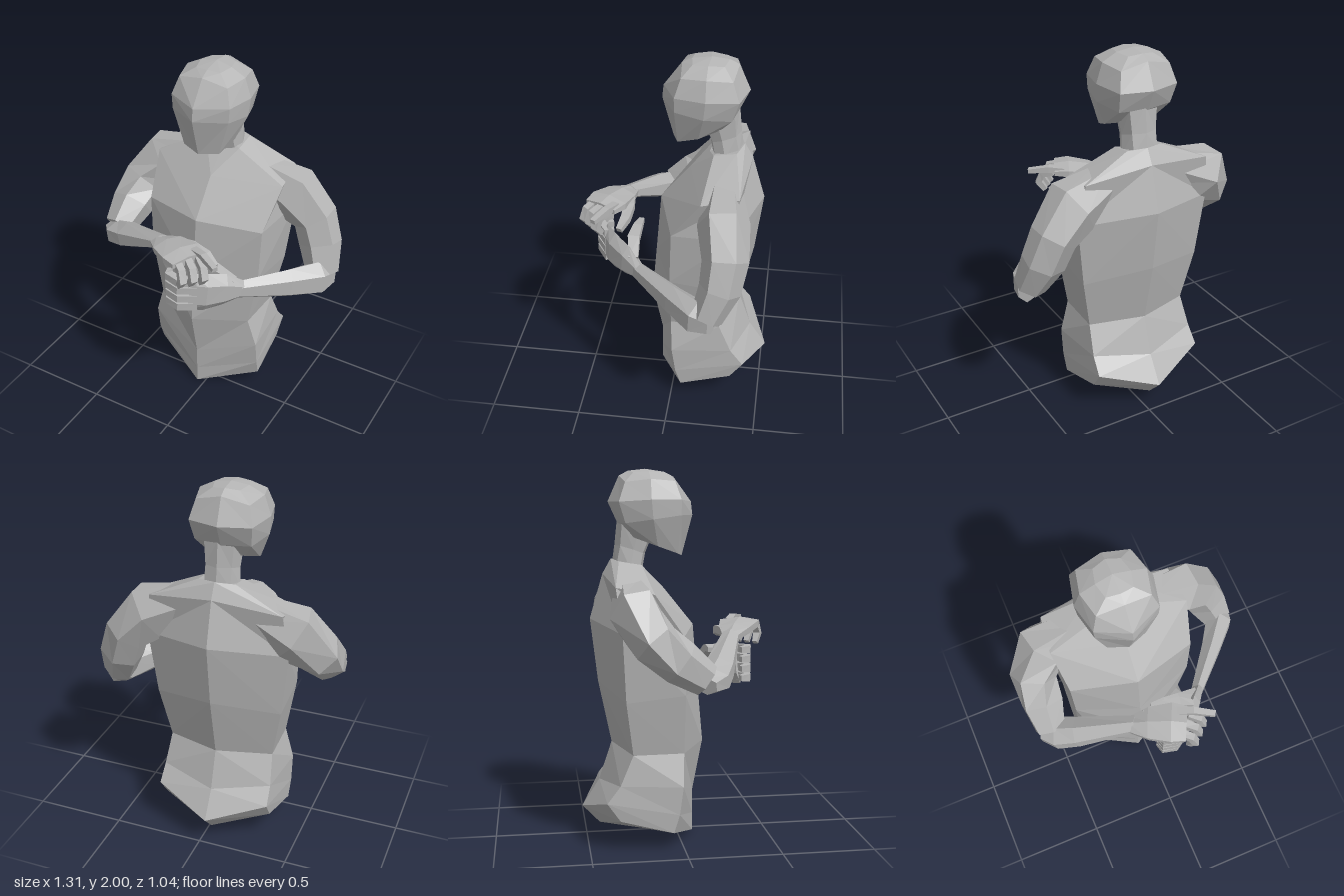
import * as THREE from 'three';

const V = (x, y, z) => new THREE.Vector3(x, y, z);
const UP = V(0, 1, 0), FRONT = V(0, 0, 1);

// Faceted skin over closed rings, with a fan cap at each end
function loft(rings, startTip, endTip) {
  const pos = [];
  const tri = (...p) => p.forEach(v => pos.push(v.x, v.y, v.z));
  const mid = r => r.reduce((s, p) => s.add(p), V(0, 0, 0)).divideScalar(r.length);
  const n = rings[0].length, last = rings[rings.length - 1];
  const a = startTip || mid(rings[0]), b = endTip || mid(last);
  for (let j = 0; j < n; j++) {
    const k = (j + 1) % n;
    for (let i = 0; i + 1 < rings.length; i++) {
      const [r, s] = [rings[i], rings[i + 1]];
      // Diagonals mirror from one half to the other
      if (j < n / 2) {
        tri(r[j], r[k], s[k]);
        tri(r[j], s[k], s[j]);
      } else {
        tri(r[j], r[k], s[j]);
        tri(r[k], s[k], s[j]);
      }
    }
    tri(a, rings[0][k], rings[0][j]);
    tri(b, last[j], last[k]);
  }
  const g = new THREE.BufferGeometry();
  g.setAttribute('position', new THREE.Float32BufferAttribute(pos, 3));
  g.computeVertexNormals();
  return g;
}

// Mirrored ring: [halfWidth, y, z] from the front centre round to the back centre
function ring(half, cx) {
  const left = half.map(([w, y, z]) => V(cx + w, y, z));
  const right = half.slice(1, -1).reverse().map(([w, y, z]) => V(cx - w, y, z));
  return [...left, ...right];
}

// Limb along a path of [x, y, z, radius across, radius along ref]
function limb(path, ref, sides = 6) {
  const c = path.map(p => V(p[0], p[1], p[2]));
  return loft(c.map((p, i) => {
    const t = c[Math.min(i + 1, c.length - 1)].clone().sub(c[Math.max(i - 1, 0)]).normalize();
    const s = ref.clone().cross(t).normalize(), u = t.clone().cross(s);
    return Array.from({ length: sides }, (_, j) => {
      const q = (j + 0.5) / sides * Math.PI * 2;
      return p.clone().addScaledVector(s, Math.cos(q) * path[i][3]).addScaledVector(u, Math.sin(q) * path[i][4]);
    });
  }));
}

export function createModel() {
  const model = new THREE.Group();
  const grey = new THREE.MeshStandardMaterial({ color: 0xb4b4b4 });
  grey.name = 'plain grey';
  const add = (name, geo, parent = model) => {
    const m = new THREE.Mesh(geo, grey);
    m.name = name;
    parent.add(m);
  };

  // Six-sided torso from hips to neck base
  const torso = [
    [[0, 0, .09], [.33, .1, -.06], [.31, .17, -.34], [0, .07, -.43]],
    [[0, .1, .09], [.335, .2, -.03], [.315, .27, -.41], [0, .17, -.525]],
    [[0, .24, .09], [.335, .35, -.01], [.31, .36, -.34], [0, .32, -.43]],
    [[0, .52, .145], [.285, .52, 0], [.295, .52, -.27], [0, .53, -.36]],
    [[0, .81, .12], [.34, .84, 0], [.35, .81, -.31], [0, .87, -.43]],
    [[0, 1.17, .09], [.35, 1.15, -.01], [.39, 1.17, -.33], [0, 1.21, -.47]],
    [[0, 1.37, -.07], [.385, 1.37, -.165], [.36, 1.405, -.36], [0, 1.45, -.4]],
    [[0, 1.47, -.17], [.1, 1.5, -.2], [.1, 1.52, -.32], [0, 1.53, -.355]],
  ];
  add('torso', loft(torso.map(r => ring(r, -.045)), V(-.045, .02, -.18)));

  // Neck leaning forward into the skull
  const neck = [
    [[0, 1.45, -.19], [.08, 1.46, -.21], [.1, 1.48, -.26], [.07, 1.5, -.33], [0, 1.5, -.35]],
    [[0, 1.56, -.17], [.07, 1.56, -.19], [.09, 1.58, -.24], [.07, 1.6, -.31], [0, 1.6, -.335]],
    [[0, 1.68, -.12], [.07, 1.68, -.14], [.1, 1.7, -.21], [.08, 1.73, -.3], [0, 1.74, -.32]],
  ];
  add('neck', loft(neck.map(r => ring(r, -.05))));

  // Faceted head without features
  const head = [
    [[0, 1.545, .025], [.105, 1.56, -.01], [.135, 1.6, -.12], [.1, 1.64, -.23], [0, 1.66, -.28]],
    [[0, 1.76, .083], [.165, 1.76, 0], [.195, 1.74, -.15], [.15, 1.72, -.29], [0, 1.72, -.32]],
    [[0, 1.83, .075], [.17, 1.84, 0], [.205, 1.84, -.16], [.165, 1.83, -.325], [0, 1.83, -.37]],
    [[0, 1.96, -.02], [.14, 1.935, -.03], [.17, 1.945, -.16], [.14, 1.93, -.29], [0, 1.965, -.31]],
    [[0, 1.985, -.07], [.07, 1.98, -.08], [.09, 1.985, -.16], [.07, 1.98, -.24], [0, 1.99, -.26]],
  ];
  add('head', loft(head.map(r => ring(r, -.065)), V(-.065, 1.61, -.12), V(-.065, 2, -.17)));

  // Left arm, hanging down with the forearm across the waist
  const leftArm = new THREE.Group();
  leftArm.name = 'leftArm';
  model.add(leftArm);
  add('leftUpperArm', limb([
    [.14, 1.36, -.27, .1, .09], [.345, 1.275, -.285, .165, .135], [.475, 1.14, -.31, .125, .12],
    [.525, 1.0, -.29, .12, .11], [.575, .85, -.23, .09, .085]], FRONT), leftArm);
  add('leftForearm', limb([
    [.61, .84, -.26, .05, .07], [.57, .845, -.18, .08, .105], [.46, .86, -.04, .06, .09],
    [.27, .89, .18, .035, .055]], UP), leftArm);
  add('leftPalm', limb([
    [.29, .89, .16, .03, .05], [.22, .91, .24, .045, .1], [.15, .92, .32, .045, .12],
    [.08, .93, .375, .03, .12]], UP), leftArm);
  for (let i = 0; i < 4; i++) {
    const y = .85 + i * .053, r = .03;
    add('leftFinger', limb([
      [.12, y, .36, r, r], [.04, y + .005, .415, r, r], [-.025, y + .01, .4, r, r],
      [-.04, y + .01, .36, .02, .022]], UP, 4), leftArm);
  }
  add('leftThumb', limb([
    [.25, .94, .2, .035, .04], [.14, 1.0, .215, .045, .035], [.06, 1.02, .205, .035, .028],
    [-.015, 1.02, .195, .02, .018]], UP, 4), leftArm);

  // Right arm, raised forward with the hand over the left one
  const rightArm = new THREE.Group();
  rightArm.name = 'rightArm';
  model.add(rightArm);
  add('rightUpperArm', limb([
    [-.23, 1.36, -.27, .1, .09], [-.435, 1.275, -.265, .165, .135], [-.545, 1.14, -.175, .125, .125],
    [-.55, 1.04, -.05, .12, .115], [-.56, .95, .08, .085, .085]], FRONT), rightArm);
  add('rightForearm', limb([
    [-.6, .93, .07, .06, .045], [-.53, .945, .115, .095, .07], [-.43, .985, .165, .085, .07],
    [-.14, 1.12, .285, .05, .035]], UP), rightArm);
  add('rightPalm', limb([
    [-.17, 1.11, .275, .05, .03], [-.08, 1.14, .315, .1, .035], [.03, 1.16, .365, .125, .035],
    [.1, 1.16, .4, .11, .025]], UP), rightArm);
  // Curled fingers
  for (let i = 0; i < 3; i++) {
    const x = .05 + i * .04, z = .455 - i * .04, r = .027;
    add('rightFinger', limb([
      [x, 1.155, z - .02, r, r], [x + .05, 1.14, z + .02, r, r], [x + .065, 1.09, z + .035, r, r],
      [x + .035, 1.04, z + .015, .02, .02]], V(-.5, 0, .85), 4), rightArm);
  }
  // Straight index finger and thumb
  add('rightIndexFinger', limb([
    [.08, 1.165, .32, .03, .026], [.16, 1.18, .355, .026, .024], [.26, 1.17, .41, .022, .017]], UP, 4), rightArm);
  add('rightThumb', limb([
    [-.08, 1.13, .265, .035, .03], [.03, 1.13, .255, .04, .03], [.12, 1.11, .26, .035, .028],
    [.19, 1.08, .285, .022, .02]], UP, 4), rightArm);

  return model;
}
